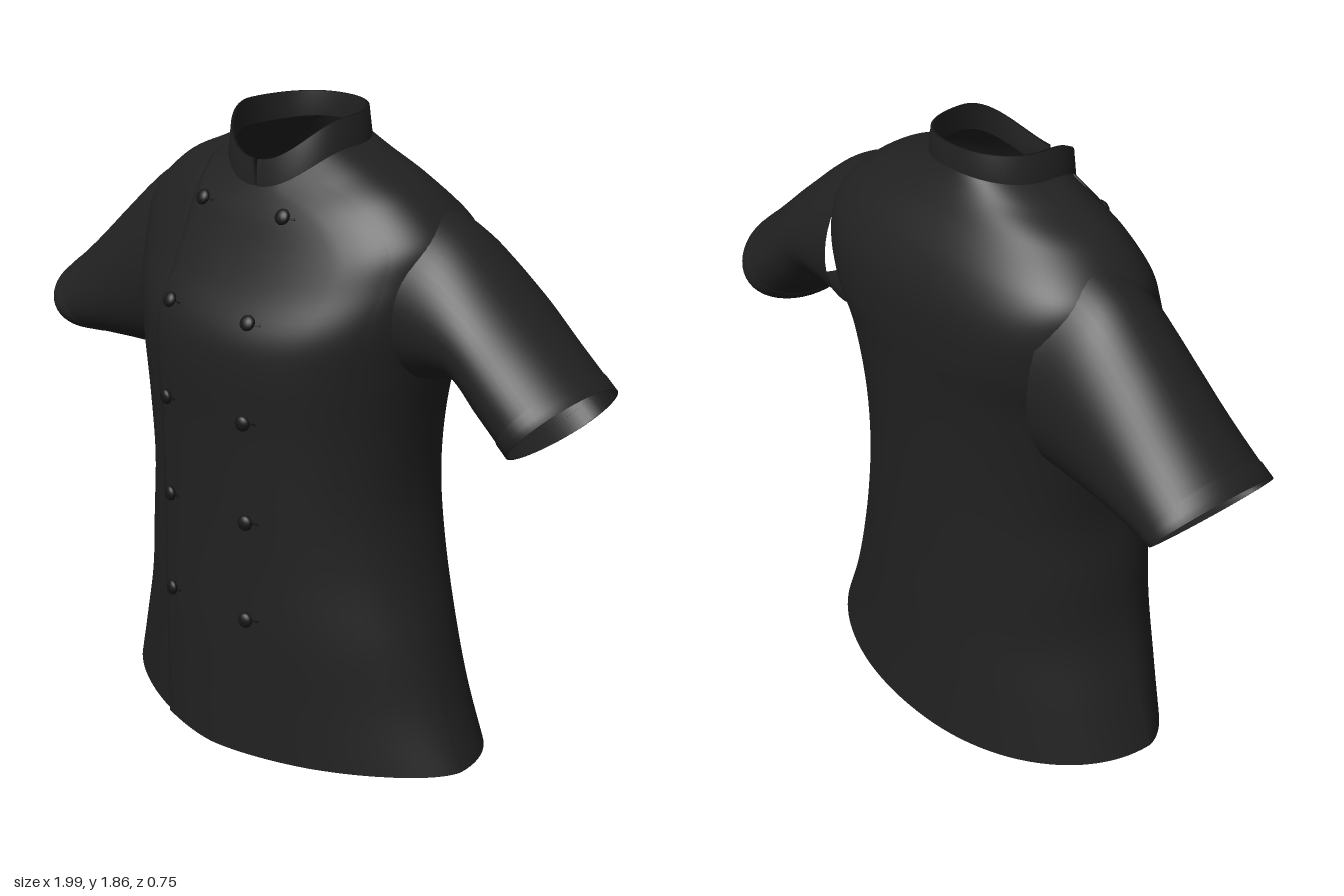
import * as THREE from 'three';

const { sin, cos, abs, sign, PI, pow, acos } = Math;

// Body rings: side y, front y, back y, +x reach, -x reach, front z, back z, side z, front and back roundness
const RINGS = [
  [0.035, 0.01, 0.0, 0.68, 0.61, 0.357, -0.37, 0.03, 1.6, 2.1],
  [0.2, 0.2, 0.2, 0.61, 0.56, 0.357, -0.36, 0.03, 1.7, 2.1],
  [0.4, 0.4, 0.4, 0.55, 0.50, 0.357, -0.355, 0.03, 1.85, 2.1],
  [0.6, 0.6, 0.6, 0.49, 0.475, 0.353, -0.35, 0.02, 2, 2.2],
  [0.8, 0.8, 0.8, 0.455, 0.45, 0.353, -0.35, 0.01, 2.15, 2.25],
  [1.0, 1.0, 1.0, 0.46, 0.47, 0.357, -0.355, 0, 2.15, 2.25],
  [1.2, 1.18, 1.2, 0.49, 0.50, 0.367, -0.365, -0.01, 2.1, 2.4],
  [1.34, 1.29, 1.34, 0.52, 0.52, 0.352, -0.375, -0.02, 2.1, 2.8],
  [1.47, 1.40, 1.47, 0.54, 0.54, 0.287, -0.37, -0.04, 2.2, 2.8],
  [1.57, 1.50, 1.58, 0.53, 0.53, 0.237, -0.33, -0.05, 2.25, 2.6],
  [1.67, 1.58, 1.69, 0.42, 0.42, 0.202, -0.26, -0.04, 2.25, 2.3],
  [1.73, 1.63, 1.75, 0.29, 0.29, 0.177, -0.225, -0.03, 2.25, 2.2],
  [1.77, 1.66, 1.79, 0.19, 0.20, 0.162, -0.205, -0.02, 2.2, 2.2],
];

// Smooth interpolation through rows of numbers, t from 0 to 1
function sample(rows, t) {
  const n = rows.length - 1;
  const i = Math.min(Math.floor(t * n), n - 1), f = t * n - i;
  const row = (k) => rows[Math.max(0, Math.min(n, k))];
  return rows[i].map((p1, c) => {
    const p0 = row(i - 1)[c], p2 = row(i + 1)[c], p3 = row(i + 2)[c];
    return p1 + 0.5 * f * (p2 - p0 + f * (2 * p0 - 5 * p1 + 4 * p2 - p3 + f * (3 * (p1 - p2) + p3 - p0)));
  });
}

// Point on a ring; angle 0 is +x and PI/2 is the front
function ringPoint(r, a, grow = 0) {
  const c = cos(a), s = sin(a), power = s > 0 ? r[8] : r[9];
  const curve = (k) => sign(k) * pow(abs(k), 2 / power);
  const depth = abs((s > 0 ? r[5] : r[6]) - r[7]) + grow;
  const y = r[0] + (s > 0 ? r[1] - r[0] : r[2] - r[0]) * s * s;
  return new THREE.Vector3(curve(c) * ((c > 0 ? r[3] : r[4]) + grow), y, r[7] + curve(s) * depth);
}

// Angle on the front half of a ring at a given x
function frontAngle(r, x) {
  const c = pow(Math.min(1, abs(x) / (x > 0 ? r[3] : r[4])), r[8] / 2);
  return acos(sign(x) * c);
}

// Skin rows of points into a smooth sheet, leaving out cells where hole(point) holds
function loft(rows, closed, hole = () => false) {
  const m = rows[0].length, index = [];
  const g = new THREE.BufferGeometry().setFromPoints(rows.flat());
  for (let i = 0; i < rows.length - 1; i++) {
    for (let j = 0; j < (closed ? m : m - 1); j++) {
      if (hole(rows[i][j])) continue;
      const a = i * m + j, b = i * m + (j + 1) % m;
      index.push(a, a + m, b, b, a + m, b + m);
    }
  }
  g.setIndex(index);
  g.computeVertexNormals();
  return g;
}

const range = (n, fn) => Array.from({ length: n }, (_, i) => fn(i));

// Armholes, kept just inside the sleeves
function inArmhole(p) {
  const [midY, halfY] = p.x > 0 ? [1.39, 0.19] : [1.33, 0.26];
  return abs(p.x) > 0.4 && pow((p.z + 0.085) / 0.18, 2) + pow((p.y - midY) / halfY, 2) < 1;
}

export function createModel() {
  const group = new THREE.Group();
  const cloth = new THREE.MeshStandardMaterial({ color: 0x212121, side: THREE.DoubleSide });
  cloth.name = 'black cloth';
  const trim = new THREE.MeshStandardMaterial({ color: 0x161616, side: THREE.DoubleSide });
  trim.name = 'black trim';
  const add = (name, geometry, material = cloth) => {
    const mesh = new THREE.Mesh(geometry, material);
    mesh.name = name;
    group.add(mesh);
    return mesh;
  };

  // Body
  add('body', loft(range(97, (i) => {
    const r = sample(RINGS, i / 96);
    return range(112, (j) => ringPoint(r, j / 112 * 2 * PI));
  }), true, inArmhole));

  // Overlapping front panel, fading out toward the side seam
  add('frontPanel', loft(range(61, (i) => {
    const r = sample(RINGS, i / 60);
    const end = frontAngle(r, -Math.min(0.22, r[4] * 0.85));
    const row = range(31, (j) => ringPoint(r, end * (0.3 + 0.7 * j / 30), 0.007 * Math.min(1, j / 8)));
    row.push(ringPoint(r, end, -0.002));
    return row;
  })));

  // Stand collar, a thin band split at the front
  const neck = RINGS[RINGS.length - 1];
  const top = [1.85, 1.735, 1.86, 0.175, 0.19, 0.16, -0.205, -0.02, 2.2, 2.2];
  const gap = 0.04;
  const collarRow = (r, grow) => range(65, (j) =>
    ringPoint(r, PI / 2 + gap + (2 * PI - 2 * gap) * j / 64, grow));
  add('collar', loft([collarRow(neck, 0.006), collarRow(top, 0.005), collarRow(top, -0.005), collarRow(neck, -0.005)]));

  // Sleeves: top x, top y, underside x, underside y from shoulder to cuff
  const leftSleeve = [
    [0.44, 1.64, 0.44, 1.14], [0.57, 1.58, 0.51, 1.165], [0.72, 1.46, 0.62, 1.19],
    [0.86, 1.34, 0.71, 1.11], [0.99, 1.23, 0.81, 1.02],
  ];
  const rightSleeve = [
    [0.44, 1.64, 0.44, 1.02], [0.57, 1.58, 0.51, 1.01], [0.72, 1.45, 0.62, 1.01],
    [0.86, 1.32, 0.73, 1.01], [1.0, 1.2, 0.84, 1.01],
  ];
  const sleeveRow = (path, side, t, grow) => {
    const [tx, ty, bx, by] = sample(path, t);
    const halfZ = 0.207 + grow + 0.02 * pow(1 - t, 3);
    return range(48, (j) => {
      const a = j / 48 * 2 * PI, k = 0.5 + 0.5 * cos(a) * (1 + grow * 4);
      const z = -0.085 + sin(a) * (1 - 0.1 * cos(a)) * halfZ;
      return new THREE.Vector3(side * (bx + (tx - bx) * k), by + (ty - by) * k, z);
    });
  };
  for (const [name, path, side] of [['left', leftSleeve, 1], ['right', rightSleeve, -1]]) {
    add(name + 'Sleeve', loft(range(25, (i) => sleeveRow(path, side, i / 24, 0)), true));
    // Folded hem at the cuff
    const hem = [[0.9, -0.001], [0.9, 0.003], [0.95, 0.003], [1, 0.003], [1, -0.003]];
    add(name + 'Cuff', loft(hem.map(([t, grow]) => sleeveRow(path, side, t, grow)), true));
  }

  // Point on the front surface at x and height y
  const frontPoint = (x, y) => {
    let lo = 0, hi = 1, p;
    for (let k = 0; k < 30; k++) {
      const v = (lo + hi) / 2, r = sample(RINGS, v);
      p = ringPoint(r, frontAngle(r, x), 0.007);
      if (p.y < y) lo = v; else hi = v;
    }
    return p;
  };

  // Two columns of knot buttons with buttonholes
  const knot = new THREE.SphereGeometry(0.023, 16, 10).scale(1, 1, 0.6);
  const slit = new THREE.BoxGeometry(0.06, 0.006, 0.006);
  for (const y of [0.45, 0.75, 1.05, 1.33, 1.6]) {
    for (const x of [-0.17, 0.135]) {
      const p = frontPoint(x, y);
      const dx = frontPoint(x + 0.02, y).sub(p), dy = frontPoint(x, y + 0.02).sub(p);
      const normal = dx.cross(dy).normalize();
      const button = add('button', knot, trim);
      button.position.copy(p).addScaledVector(normal, 0.008);
      button.lookAt(button.position.clone().add(normal));
      const hole = add('buttonhole', slit, trim);
      hole.position.copy(p);
      hole.quaternion.copy(button.quaternion);
      hole.translateX(0.008);
    }
  }
  return group;
}
